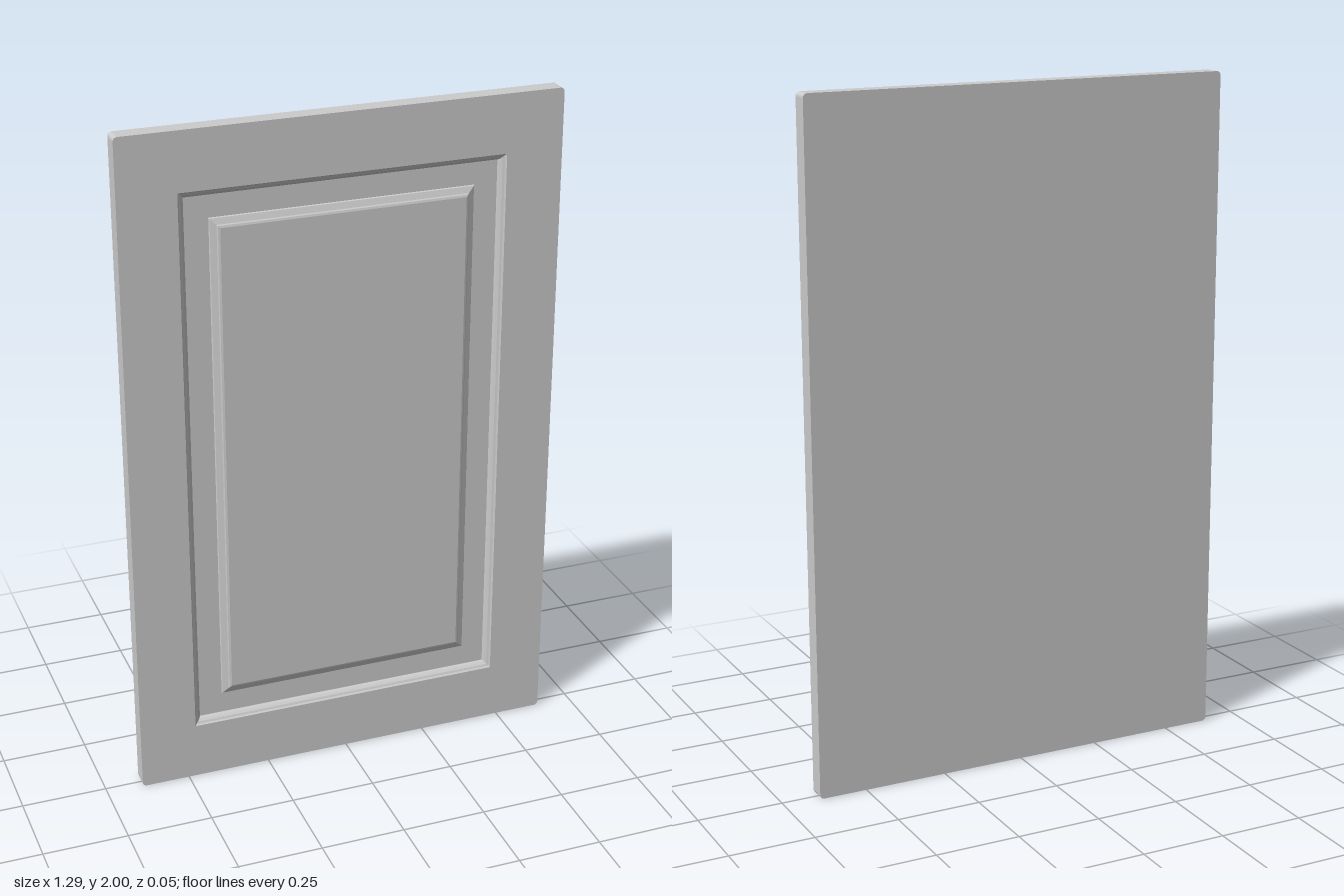
import * as THREE from 'three';

const MID_Y = 1;
const CORNER_STEPS = 4;
const FRONT = 0.026, BACK = -0.026;

// Rounded rectangle, counter-clockwise seen from the front
function ring([halfW, halfH, radius, z], cy) {
  const points = [];
  const signs = [[1, 1], [-1, 1], [-1, -1], [1, -1]];
  signs.forEach(([sx, sy], corner) => {
    for (let i = 0; i <= CORNER_STEPS; i++) {
      const a = (corner + i / CORNER_STEPS) * Math.PI / 2;
      points.push([
        sx * (halfW - radius) + radius * Math.cos(a),
        cy + sy * (halfH - radius) + radius * Math.sin(a),
        z,
      ]);
    }
  });
  return points;
}

// Joins rings from back/outside to front/inside, with optional flat end caps
function loft(name, material, sections, { cy = MID_Y, capStart = false, capEnd = false } = {}) {
  const rings = sections.map((s) => ring(s, cy));
  const pos = [];
  const tri = (a, b, c) => pos.push(...a, ...b, ...c);
  const n = rings[0].length;
  for (let j = 0; j < n; j++) {
    const k = (j + 1) % n;
    for (let i = 0; i < rings.length - 1; i++) {
      const a = rings[i], b = rings[i + 1];
      tri(a[j], a[k], b[k]);
      tri(a[j], b[k], b[j]);
    }
    const first = rings[0], last = rings[rings.length - 1];
    if (capStart) tri([0, cy, first[0][2]], first[k], first[j]);
    if (capEnd) tri([0, cy, last[0][2]], last[j], last[k]);
  }
  const geometry = new THREE.BufferGeometry();
  geometry.setAttribute('position', new THREE.Float32BufferAttribute(pos, 3));
  geometry.computeVertexNormals();
  const mesh = new THREE.Mesh(geometry, material);
  mesh.name = name;
  return mesh;
}

export function createModel() {
  const group = new THREE.Group();
  group.name = 'panelDoor';
  const material = new THREE.MeshStandardMaterial({ color: 0xcccccc, flatShading: true });

  const sharp = 0.0008;
  const floor = FRONT - 0.02;
  const opening = [0.475, 0.828, sharp, FRONT];
  const floorEdge = [0.455, 0.808, sharp, floor];
  const panelFoot = [0.386, 0.743, sharp, floor];

  // Back, edges and front face of the surrounding frame
  group.add(loft('frame', material, [
    [0.643, 1, 0.012, BACK],
    [0.643, 1, 0.012, FRONT],
    opening,
  ], { capStart: true }));

  // Stepped moulding down into the recess, and the recess floor
  group.add(loft('recessMoulding', material, [
    opening,
    [0.471, 0.824, sharp, FRONT - 0.004],
    [0.465, 0.818, sharp, FRONT - 0.007],
    [0.459, 0.812, sharp, FRONT - 0.013],
    floorEdge,
    panelFoot,
  ]));

  // Raised centre panel with a bevelled, lipped border
  group.add(loft('raisedPanel', material, [
    panelFoot,
    [0.384, 0.741, sharp, floor + 0.004],
    [0.367, 0.724, sharp, floor + 0.011],
    [0.364, 0.721, sharp, floor + 0.014],
    [0.358, 0.715, sharp, floor + 0.016],
  ], { capEnd: true }));

  return group;
}
